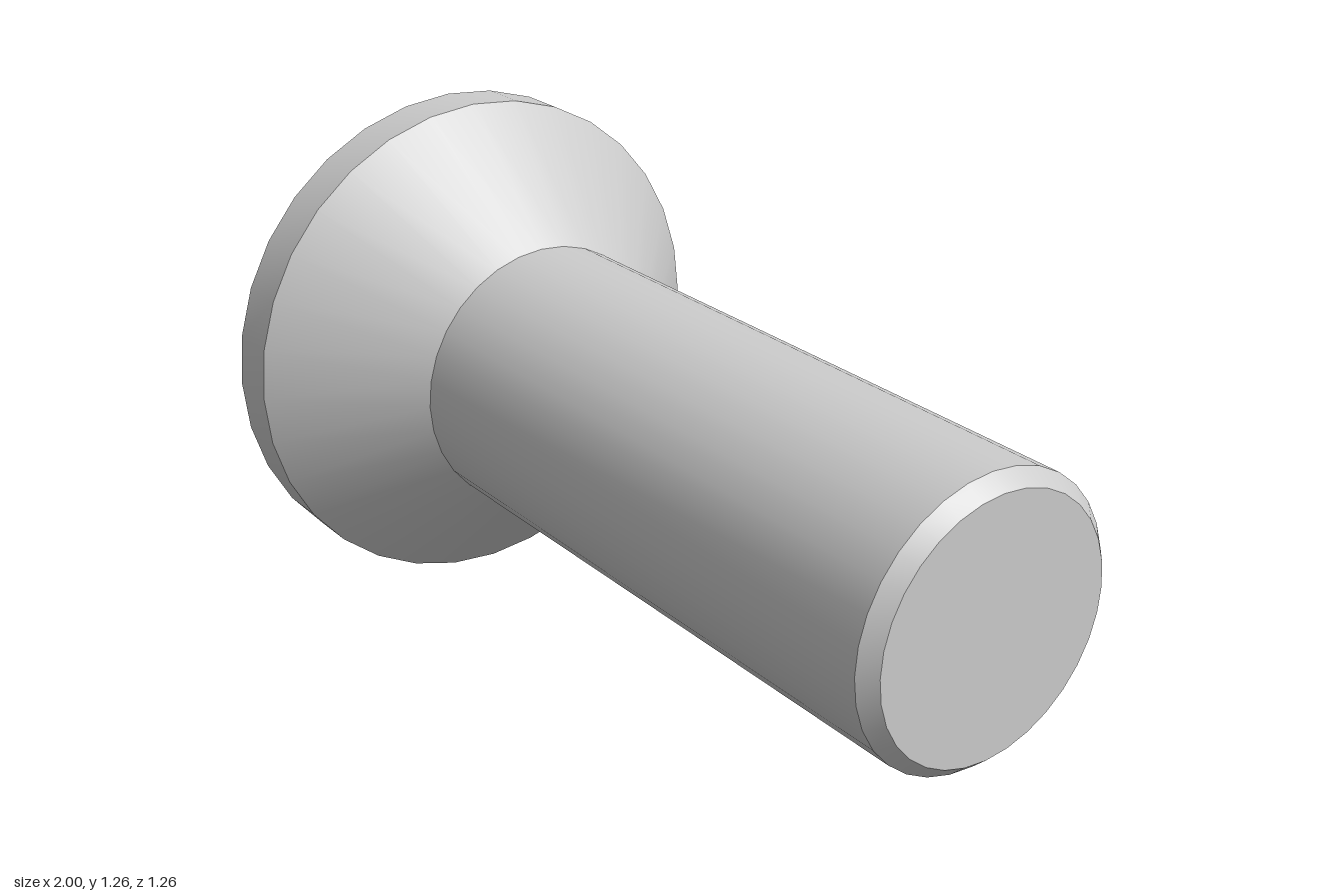
import * as THREE from 'three';
import { toCreasedNormals } from 'three/addons/utils/BufferGeometryUtils.js';

const SEGMENTS = 32;
const HEAD_R = 0.63, SHAFT_R = 0.333;
const SOCKET_R = 0.235, SOCKET_DEPTH = 0.255;

// Corners of a regular polygon with one corner pointing up
function polygon(radius, sides) {
  return Array.from({ length: sides }, (_, i) => {
    const a = Math.PI / 2 + (i / sides) * Math.PI * 2;
    return new THREE.Vector2(Math.cos(a) * radius, Math.sin(a) * radius);
  });
}

// Surface of revolution about the x axis from [x, radius] pairs
function turned(profile) {
  const points = profile.map(([x, r]) => new THREE.Vector2(r, x));
  const geometry = new THREE.LatheGeometry(points, SEGMENTS).rotateZ(-Math.PI / 2);
  return toCreasedNormals(geometry, Math.PI / 6);
}

export function createModel() {
  const model = new THREE.Group();
  model.name = 'countersunkScrew';
  const metal = new THREE.MeshStandardMaterial({ color: 0xcccccc });
  const socketMetal = new THREE.MeshStandardMaterial({
    color: 0xcccccc, flatShading: true, side: THREE.DoubleSide,
  });

  const add = (name, geometry, material = metal) => {
    const mesh = new THREE.Mesh(geometry, material);
    mesh.name = name;
    mesh.position.y = HEAD_R;
    model.add(mesh);
    return mesh;
  };

  // Head: short cylindrical rim running into the countersink cone
  add('head', turned([[-1, HEAD_R], [-0.88, HEAD_R], [-0.59, SHAFT_R]]));

  // Shaft with a chamfered, closed tip
  add('shaft', turned([[-0.59, SHAFT_R], [0.965, SHAFT_R], [1, 0.3], [1, 0]]));

  // Flat head face with the hexagonal opening
  const face = new THREE.Shape(polygon(HEAD_R, SEGMENTS));
  face.holes.push(new THREE.Path(polygon(SOCKET_R, 6)));
  add('headFace', new THREE.ShapeGeometry(face).rotateY(-Math.PI / 2)).position.x = -1;

  // Hexagonal socket: walls and floor
  const walls = new THREE.CylinderGeometry(
    SOCKET_R, SOCKET_R, SOCKET_DEPTH, 6, 1, true, Math.PI / 2);
  add('socketWalls', walls.rotateZ(-Math.PI / 2), socketMetal).position.x = -1 + SOCKET_DEPTH / 2;
  const floor = new THREE.CircleGeometry(SOCKET_R, 6, Math.PI / 2);
  add('socketFloor', floor.rotateY(-Math.PI / 2)).position.x = -1 + SOCKET_DEPTH;

  return model;
}
